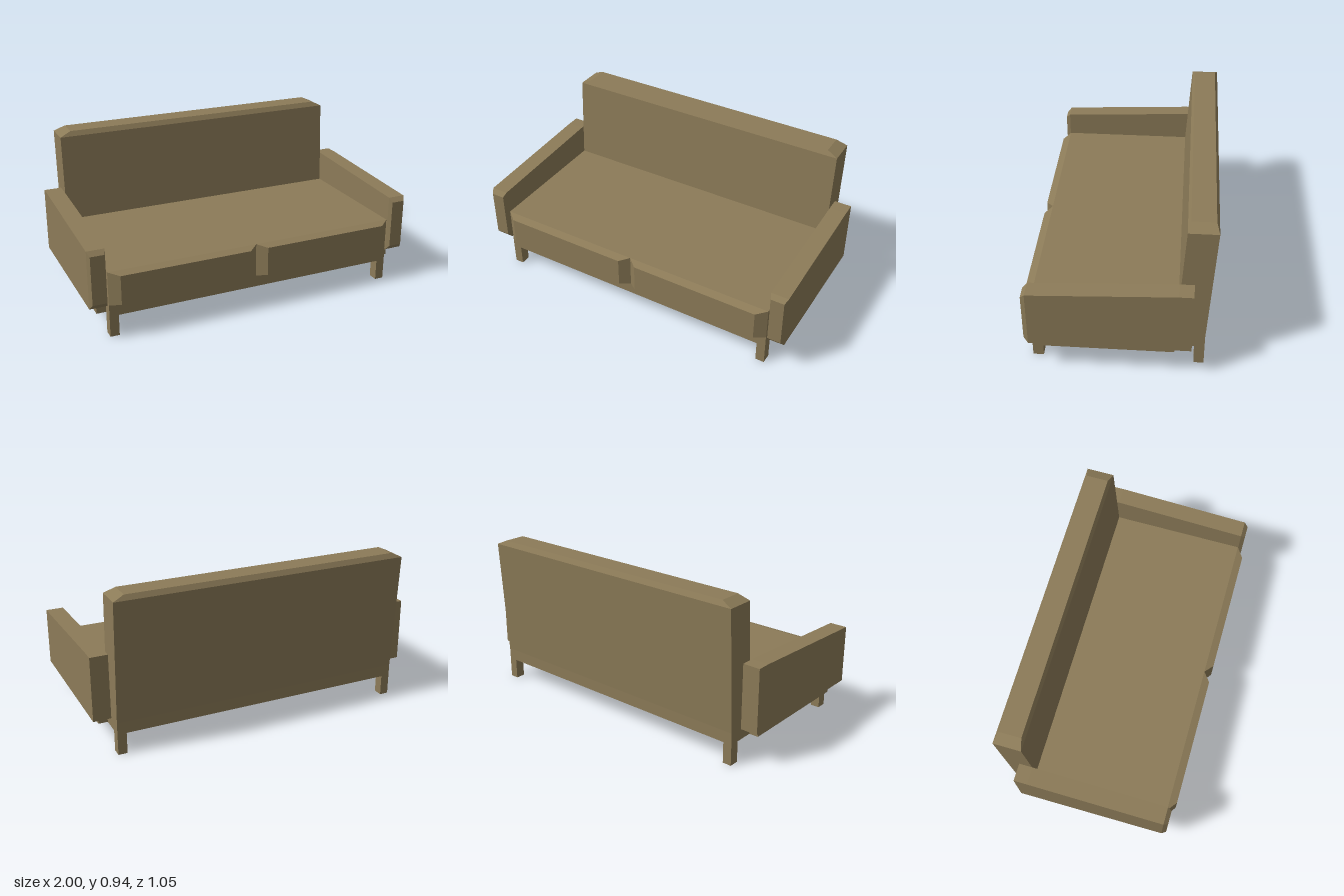
import * as THREE from 'three';

const fabric = new THREE.MeshStandardMaterial({ color: 0x8c7b58 });
fabric.name = 'olive tan';

// Flat-faced solid between two matching convex loops; loop b runs anticlockwise seen from outside.
function loft(a, b) {
  const pos = [];
  const tri = (...pts) => pts.forEach((p) => pos.push(...p));
  const n = a.length;
  for (let i = 0; i < n; i++) {
    const j = (i + 1) % n;
    tri(a[i], a[j], b[j]);
    tri(a[i], b[j], b[i]);
  }
  for (let i = 1; i < n - 1; i++) {
    tri(b[0], b[i], b[i + 1]);
    tri(a[0], a[i + 1], a[i]);
  }
  const g = new THREE.BufferGeometry();
  g.setAttribute('position', new THREE.Float32BufferAttribute(pos, 3));
  g.computeVertexNormals();
  return g;
}

// Rectangles facing +z and +y, and a side profile of [z, y] points facing +x
const rectZ = (x0, x1, y0, y1, z) => [[x0, y0, z], [x1, y0, z], [x1, y1, z], [x0, y1, z]];
const rectY = (x0, x1, z0, z1, y) => [[x0, y, z1], [x1, y, z1], [x1, y, z0], [x0, y, z0]];
const profileX = (pts, x) => pts.map(([z, y]) => [x, y, z]);

export function createModel() {
  const sofa = new THREE.Group();
  sofa.name = 'sofa';

  const add = (name, geometry) => {
    const mesh = new THREE.Mesh(geometry, fabric);
    mesh.name = name;
    sofa.add(mesh);
  };
  const box = (name, x0, x1, y0, y1, z0, z1) =>
    add(name, loft(rectZ(x0, x1, y0, y1, z0), rectZ(x0, x1, y0, y1, z1)));
  // Orders a pair of x values after mirroring
  const span = (s, inner, outer) => (s > 0 ? [inner, outer] : [-outer, -inner]);

  // Base and seat
  box('base', -0.89, 0.89, 0.125, 0.194, -0.483, 0.48);
  box('seat', -0.89, 0.89, 0.194, 0.393, -0.4, 0.478);

  // Backrest, leaning back, with a bevelled top
  const rim = rectY(-0.89, 0.89, -0.523, -0.36, 0.907);
  add('backrest', loft(rectY(-0.89, 0.89, -0.483, -0.318, 0.194), rim));
  add('backrestTop', loft(rim, rectY(-0.825, 0.825, -0.507, -0.376, 0.936)));

  const armProfile = [[0.48, 0.194], [-0.41, 0.194], [-0.41, 0.575], [-0.33, 0.575], [0.48, 0.536]];

  for (const s of [1, -1]) {
    const side = s > 0 ? 'left' : 'right';

    // Bevelled seat front, one cushion per side
    add(side + 'SeatFront', loft(
      rectZ(...span(s, 0, 0.89), 0.194, 0.393, 0.478),
      rectZ(...span(s, 0.055, 0.83), 0.205, 0.378, 0.523)));

    // Armrest with bevelled front
    const [x0, x1] = span(s, 0.897, 1);
    add(side + 'Arm', loft(profileX(armProfile, x0), profileX(armProfile, x1)));
    add(side + 'ArmFront', loft(
      rectZ(x0, x1, 0.194, 0.536, 0.48),
      rectZ(...span(s, 0.907, 0.987), 0.224, 0.511, 0.505)));

    // Rail carrying the arm
    box(side + 'ArmRail', ...span(s, 0.89, 0.945), 0.125, 0.194, -0.317, 0.418);

    // Legs
    box(side + 'FrontLeg', ...span(s, 0.837, 0.89), 0, 0.125, 0.42, 0.48);
    box(side + 'BackLeg', ...span(s, 0.837, 0.89), 0, 0.125, -0.483, -0.426);
  }
  return sofa;
}
